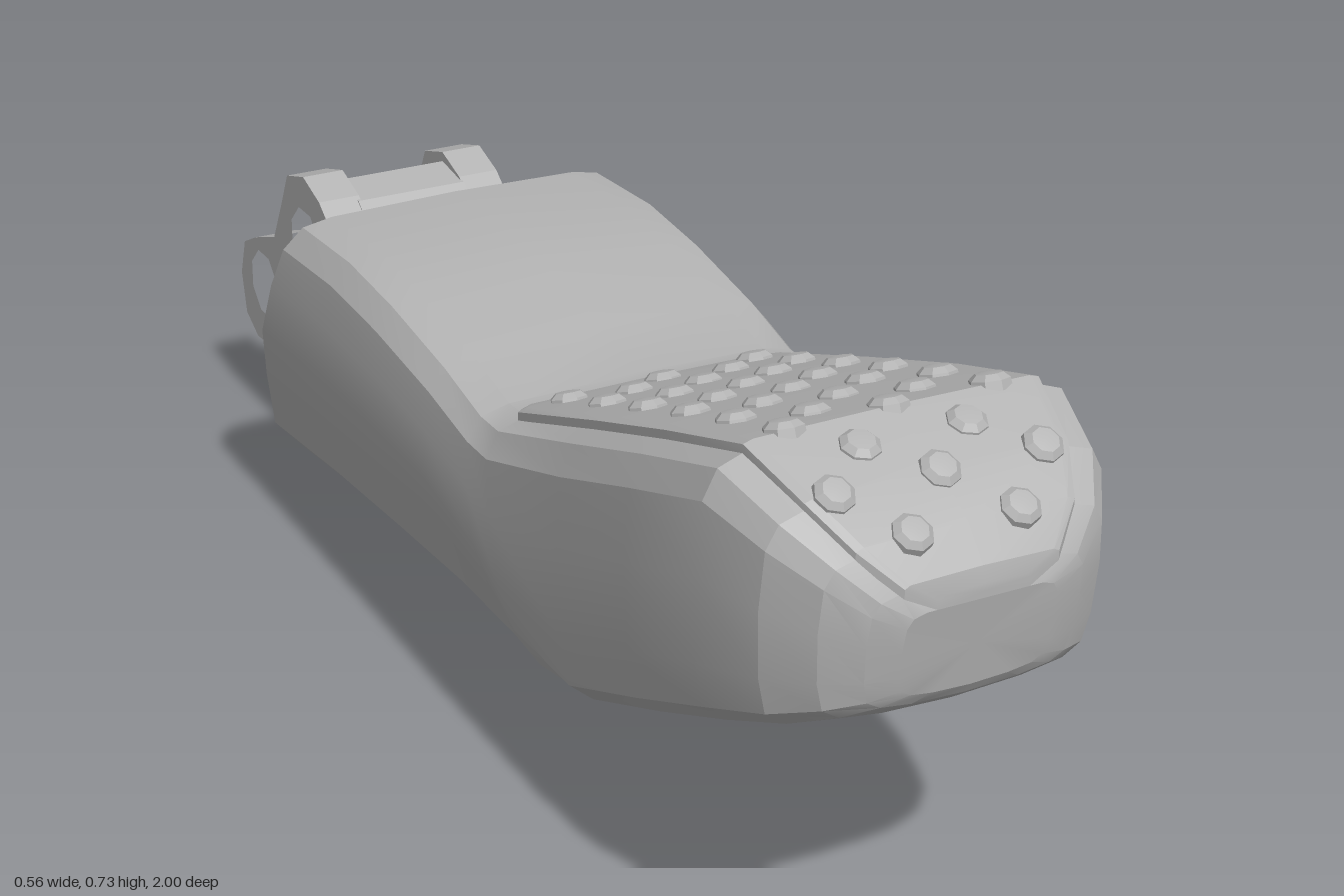
import * as THREE from 'three';
import { toCreasedNormals } from 'three/addons/utils/BufferGeometryUtils.js';

// Half outlines from bottom centre to top centre: [share of half width, share of height]
const REAR = [[0, 0], [0.55, 0.05], [0.8, 0.2], [0.92, 0.42], [1, 0.6], [1, 0.77], [0.97, 0.9], [0.88, 0.97], [0.72, 0.99], [0, 1]];
const FRONT = [[0, 0], [0.5, 0.02], [0.8, 0.06], [0.93, 0.13], [0.98, 0.3], [1, 0.6], [0.98, 0.85], [0.91, 0.95], [0.75, 0.99], [0, 1]];

// Sections from back to front: z at top, z at bottom, centre x, half width, top y, bottom y, blend to FRONT
const SECTIONS = [
  [-0.47, -0.73, 0.012, 0.27, 0.52, 0.0, 0],
  [-0.3, -0.45, 0.01, 0.27, 0.53, 0.03, 0],
  [-0.15, -0.2, 0.005, 0.268, 0.522, 0.055, 0],
  [0.02, 0.02, 0, 0.265, 0.5, 0.078, 0],
  [0.14, 0.2, -0.008, 0.26, 0.482, 0.1, 0.2],
  [0.2, 0.28, -0.012, 0.258, 0.49, 0.112, 0.5],
  [0.43, 0.43, -0.02, 0.255, 0.578, 0.17, 1],
  [0.62, 0.62, -0.027, 0.255, 0.648, 0.255, 1],
  [0.8, 0.78, -0.033, 0.25, 0.708, 0.33, 1],
  [0.9, 0.885, -0.035, 0.225, 0.675, 0.38, 1],
  [0.96, 0.945, -0.035, 0.185, 0.635, 0.415, 1],
  [0.99, 0.97, -0.035, 0.14, 0.595, 0.435, 1],
  [1.0, 0.98, -0.035, 0.1, 0.57, 0.45, 1],
];

// Skin closed rings of equal length and cap both ends
function loft(rings) {
  const n = rings[0].length;
  const pos = rings.flat(2);
  const index = [];
  for (let i = 0; i < rings.length - 1; i++) {
    for (let j = 0; j < n; j++) {
      const a = i * n + j, b = i * n + (j + 1) % n;
      index.push(a, b, b + n, a, b + n, a + n);
    }
  }
  [0, rings.length - 1].forEach((r, end) => {
    const c = pos.length / 3;
    for (let k = 0; k < 3; k++) pos.push(rings[r].reduce((s, p) => s + p[k], 0) / n);
    for (let j = 0; j < n; j++) {
      const a = r * n + j, b = r * n + (j + 1) % n;
      index.push(c, ...(end ? [a, b] : [b, a]));
    }
  });
  const geo = new THREE.BufferGeometry();
  geo.setAttribute('position', new THREE.Float32BufferAttribute(pos, 3));
  geo.setIndex(index);
  return toCreasedNormals(geo, 0.3);
}

// Full ring, anticlockwise seen from the front
function bodyRing([zt, zb, cx, w, yt, yb, s]) {
  const half = REAR.map(([u, v], i) => {
    const f = FRONT[i];
    return [u + (f[0] - u) * s, v + (f[1] - v) * s];
  });
  const left = half.slice(1, -1).reverse().map(([u, v]) => [-u, v]);
  return [...half, ...left].map(([u, v]) => [cx + u * w, yb + (yt - yb) * v, zb + (zt - zb) * v]);
}

// Pad centre line: z, y, half width
const PAD = [[0.17, 0.486, 0.18], [0.2, 0.498, 0.2], [0.43, 0.586, 0.2], [0.62, 0.656, 0.2], [0.8, 0.716, 0.195],
  [0.9, 0.683, 0.172], [0.96, 0.644, 0.142], [0.995, 0.605, 0.1], [1.0, 0.585, 0.06]];
const padCentre = z => -0.012 - 0.025 * Math.min(1, Math.max(0, (z - 0.17) / 0.7));

function padRing([z, y, w]) {
  const cx = padCentre(z);
  return [[-1, -0.016], [0, -0.016], [1, -0.016], [1, -0.004], [0.93, 0], [0, 0.002], [-0.93, 0], [-1, -0.004]]
    .map(([u, d]) => [cx + u * w, y + d, z]);
}

// Height and slope of the pad at a given z
function padAt(z) {
  let i = 0;
  while (i < PAD.length - 2 && PAD[i + 1][0] < z) i++;
  const [a, b] = [PAD[i], PAD[i + 1]];
  const slope = (b[1] - a[1]) / (b[0] - a[0]);
  return { y: a[1] + slope * (z - a[0]), slope };
}

function polygon(points) {
  return new THREE.Shape(points.map(([z, y]) => new THREE.Vector2(-z, y)));
}

// Extrude a side outline across x, from x0 to x1
function sidePlate(shape, x0, x1) {
  const geo = new THREE.ExtrudeGeometry(shape, { depth: x1 - x0, bevelEnabled: false, curveSegments: 4 });
  geo.rotateY(Math.PI / 2);
  geo.translate(x0, 0, 0);
  return geo;
}

function addHole(shape, z, y, r) {
  const pts = [];
  for (let i = 0; i < 8; i++) {
    const a = -(i + 0.5) * Math.PI / 4;
    pts.push(new THREE.Vector2(-z + r * Math.cos(a), y + r * Math.sin(a)));
  }
  shape.holes.push(new THREE.Path(pts));
  return shape;
}

export function createModel() {
  const model = new THREE.Group();
  model.name = 'footPeg';
  const grey = new THREE.MeshStandardMaterial({ color: 0xb4b4b4 });
  grey.name = 'grey';
  const add = (name, geo, parent = model) => {
    const mesh = new THREE.Mesh(geo, grey);
    mesh.name = name;
    parent.add(mesh);
    return mesh;
  };

  // Bent body with a slanted back and rounded nose
  add('body', loft(SECTIONS.map(bodyRing)));

  // Raised tread pad wrapping over the nose
  add('treadPad', loft(PAD.map(padRing)));

  // Staggered studs, three and two to a row
  const studs = new THREE.Group();
  studs.name = 'treadStuds';
  model.add(studs);
  const studGeo = toCreasedNormals(new THREE.LatheGeometry(
    [[0.026, -0.008], [0.025, 0.004], [0.017, 0.011], [0, 0.013]].map(p => new THREE.Vector2(...p)), 8), 0.3);
  for (let row = 0; row < 14; row++) {
    const z = 0.22 + row * 0.0568;
    const { y, slope } = padAt(z);
    for (const x of row % 2 ? [-0.07, 0.07] : [-0.136, 0, 0.136]) {
      const stud = add('stud', studGeo, studs);
      stud.position.set(padCentre(z) + x, y, z);
      stud.rotation.x = -Math.atan(slope);
    }
  }

  // Two hinge lugs with pin holes
  const lug = polygon([[-0.5, 0.34], [-0.57, 0.32], [-0.6, 0.33], [-0.605, 0.42], [-0.66, 0.46], [-0.72, 0.48], [-0.785, 0.46],
    [-0.815, 0.4], [-0.85, 0.335], [-0.93, 0.305], [-0.98, 0.28], [-1, 0.22], [-0.985, 0.155], [-0.94, 0.13], [-0.66, 0.15], [-0.5, 0.16]]);
  addHole(lug, -0.72, 0.37, 0.058);
  addHole(lug, -0.9, 0.235, 0.056);
  add('rightLug', sidePlate(lug, -0.125, -0.06));
  add('leftLug', sidePlate(lug, 0.107, 0.17));

  // Bridge between the lugs, curving around the upper pin hole
  const bridge = polygon([[-0.5, 0.34], [-0.57, 0.32], [-0.6, 0.33], [-0.605, 0.42], [-0.65, 0.455], [-0.72, 0.465], [-0.72, 0.43],
    [-0.68, 0.415], [-0.66, 0.38], [-0.66, 0.34], [-0.69, 0.3], [-0.67, 0.2], [-0.5, 0.2]]);
  add('lugBridge', sidePlate(bridge, -0.065, 0.11));

  // Spacer ring inside one lug
  const ring = polygon(Array.from({ length: 10 }, (_, i) => {
    const a = i * Math.PI / 5;
    return [-0.72 - 0.088 * Math.cos(a), 0.37 + 0.088 * Math.sin(a)];
  }));
  add('spacer', sidePlate(addHole(ring, -0.72, 0.37, 0.058), -0.06, -0.025));

  return model;
}
